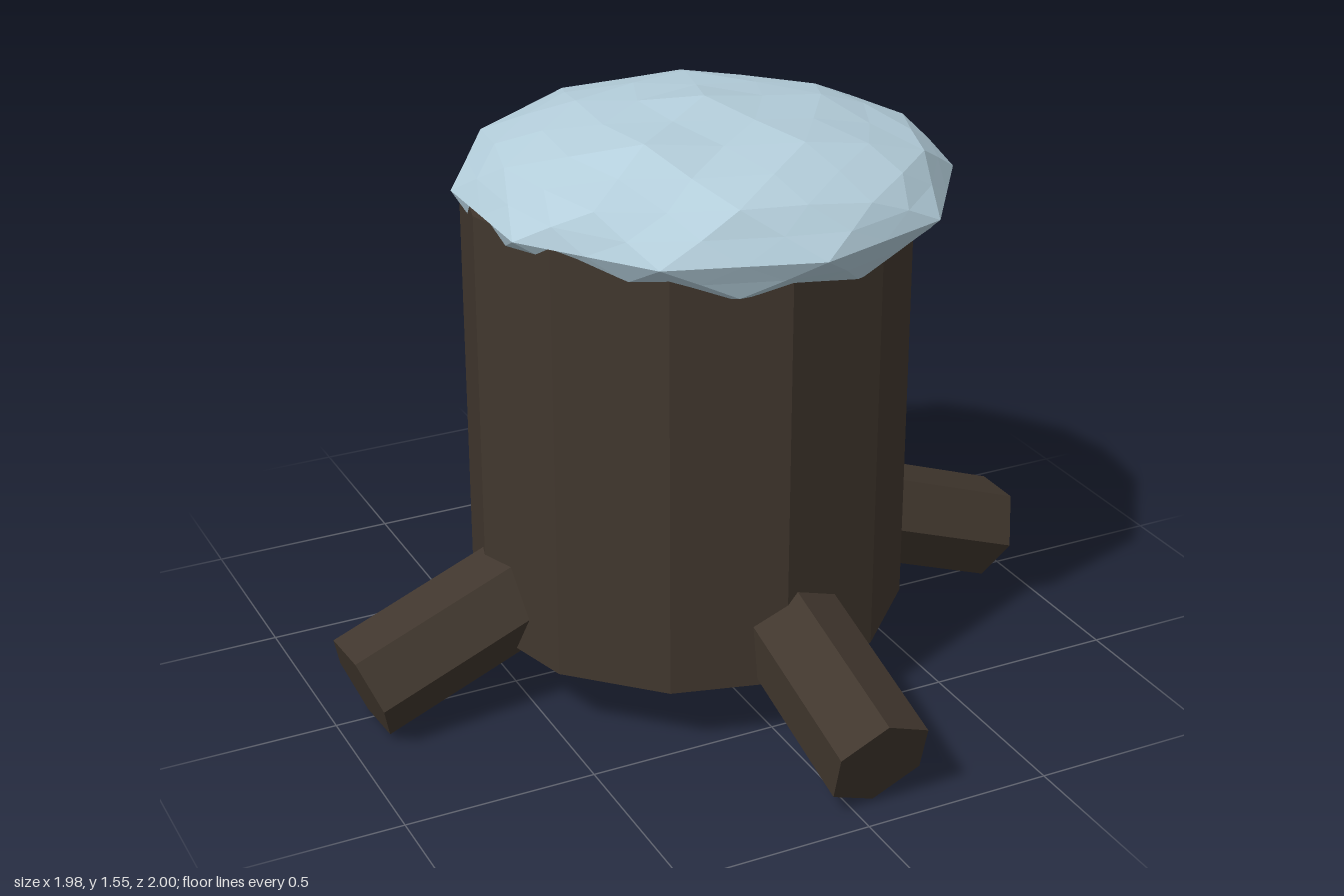
import * as THREE from 'three';

const bark = new THREE.MeshStandardMaterial({ color: 0x41372e });
bark.name = 'dark bark';
bark.flatShading = true;
const snow = new THREE.MeshStandardMaterial({ color: 0xb4cedb });
snow.name = 'pale snow';
snow.flatShading = true;

function part(name, geometry, material) {
  const mesh = new THREE.Mesh(geometry, material);
  mesh.name = name;
  return mesh;
}

// Six-sided root whose axis runs from inside the trunk out to its tip
function root(name, start, end, roll) {
  const a = new THREE.Vector3(...start);
  const b = new THREE.Vector3(...end);
  const dir = b.clone().sub(a);
  const length = dir.length();
  dir.normalize();
  const side = new THREE.Vector3(0, 1, 0).cross(dir).normalize();
  const up = dir.clone().cross(side);
  const geometry = new THREE.CylinderGeometry(0.14, 0.14, length, 6);
  geometry.rotateY(roll);
  geometry.applyMatrix4(new THREE.Matrix4().makeBasis(side, dir, up.negate()));
  const mid = a.add(b).multiplyScalar(0.5);
  geometry.translate(mid.x, mid.y, mid.z);
  return part(name, geometry.toNonIndexed(), bark);
}

// Splits every triangle into four without changing its plane
function subdivide(geometry) {
  const pos = geometry.attributes.position;
  const out = [];
  for (let i = 0; i < pos.count; i += 3) {
    const [a, b, c] = [0, 1, 2].map((k) => new THREE.Vector3().fromBufferAttribute(pos, i + k));
    const [ab, bc, ca] = [[a, b], [b, c], [c, a]].map(([p, q]) => p.clone().add(q).multiplyScalar(0.5));
    for (const v of [a, ab, ca, ab, b, bc, ca, bc, c, ab, bc, ca]) out.push(v.x, v.y, v.z);
  }
  const result = new THREE.BufferGeometry();
  result.setAttribute('position', new THREE.Float32BufferAttribute(out, 3));
  return result;
}

// Flattened faceted ball with gentle lumps away from its rim
function snowGeometry() {
  const ball = new THREE.IcosahedronGeometry(1, 1);
  ball.rotateX(-Math.atan((1 + Math.sqrt(5)) / 2));
  ball.rotateY(Math.PI / 2);
  const geometry = subdivide(ball);
  const pos = geometry.attributes.position;
  for (let i = 0; i < pos.count; i++) {
    const x = pos.getX(i), y = pos.getY(i), z = pos.getZ(i);
    const lump = Math.sin(7 * x + 2 * z + 1) * Math.cos(8 * z - 3 * x) * 0.011;
    const sway = Math.sin(9 * z + 5 * y) * 0.008;
    const weight = Math.min(1, Math.abs(y) * 2);
    const lean = y > 0 ? -0.015 * x * y : 0;
    pos.setXYZ(i,
      x * 0.64 + 0.052 + sway * weight,
      1.33 + y * 0.212 + (lump + lean) * weight,
      z * 0.64 + 0.005 + lump * weight);
  }
  geometry.computeVertexNormals();
  return geometry;
}

export function createModel() {
  const model = new THREE.Group();
  model.name = 'snowyStump';

  // Trunk
  const trunk = new THREE.CylinderGeometry(0.575, 0.575, 1.15, 12);
  trunk.translate(0, 0.755, 0);
  model.add(part('trunk', trunk.toNonIndexed(), bark));

  // Roots: side pair has a flat on top, front and back pair an edge on top
  model.add(root('leftRoot', [0.3, 0.372, 0], [0.945, 0.137, 0], Math.PI / 6));
  model.add(root('rightRoot', [-0.3, 0.372, 0.02], [-0.945, 0.137, 0.06], Math.PI / 6));
  model.add(root('frontRoot', [0.032, 0.374, 0.3], [0.058, 0.137, 0.948], 0.08));
  model.add(root('backRoot', [-0.02, 0.374, -0.3], [-0.02, 0.137, -0.952], 0));

  // Snow cap
  model.add(part('snowCap', snowGeometry(), snow));
  return model;
}
